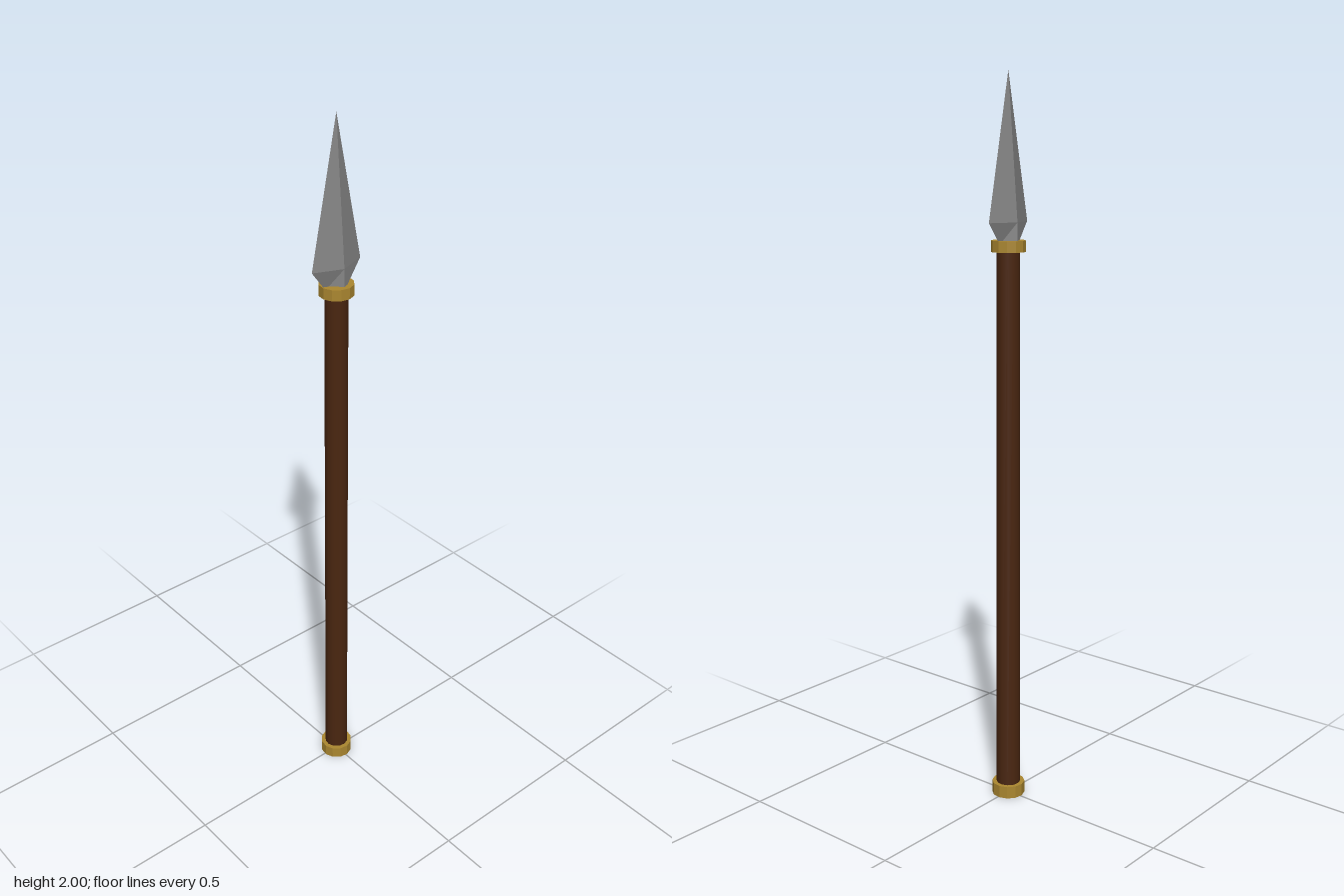
import * as THREE from 'three';

const wood = new THREE.MeshStandardMaterial({ color: 0x4a2610 });
const brass = new THREE.MeshStandardMaterial({ color: 0xab8730, flatShading: true });
const steel = new THREE.MeshStandardMaterial({ color: 0x858585, flatShading: true });

// Upright cylinder between two heights
function rod(name, bottomRadius, topRadius, y0, y1, material) {
  const geometry = new THREE.CylinderGeometry(topRadius, bottomRadius, y1 - y0, 12, 1, false, THREE.MathUtils.degToRad(6));
  geometry.translate(0, (y0 + y1) / 2, 0);
  const mesh = new THREE.Mesh(geometry, material);
  mesh.name = name;
  return mesh;
}

// Diamond-section blade from rings of [half width, half depth, height]
function bladeGeometry(rings) {
  const positions = [];
  const index = [];
  rings.forEach(([w, d, y]) => positions.push(0, y, d, w, y, 0, 0, y, -d, -w, y, 0));
  for (let j = 0; j < rings.length - 1; j++) {
    for (let i = 0; i < 4; i++) {
      const a = j * 4 + i;
      const b = j * 4 + ((i + 1) % 4);
      index.push(a, b, b + 4);
      if (rings[j + 1][0] > 0) index.push(a, b + 4, a + 4);
    }
  }
  index.push(0, 2, 1, 0, 3, 2); // underside
  const geometry = new THREE.BufferGeometry();
  geometry.setAttribute('position', new THREE.Float32BufferAttribute(positions, 3));
  geometry.setIndex(index);
  const flat = geometry.toNonIndexed();
  flat.computeVertexNormals();
  return flat;
}

export function createModel() {
  const spear = new THREE.Group();
  spear.name = 'spear';

  // Slightly tapered shaft with a metal band at each end
  spear.add(rod('shaft', 0.034, 0.031, 0.01, 1.56, wood));
  spear.add(rod('buttCap', 0.046, 0.046, 0, 0.035, brass));
  spear.add(rod('collar', 0.046, 0.046, 1.54, 1.57, brass));

  // Blade: narrow root, wide shoulders, sharp tip
  const blade = new THREE.Mesh(
    bladeGeometry([[0.032, 0.035, 1.56], [0.031, 0.078, 1.617], [0, 0, 2]]),
    steel
  );
  blade.name = 'blade';
  spear.add(blade);

  return spear;
}
